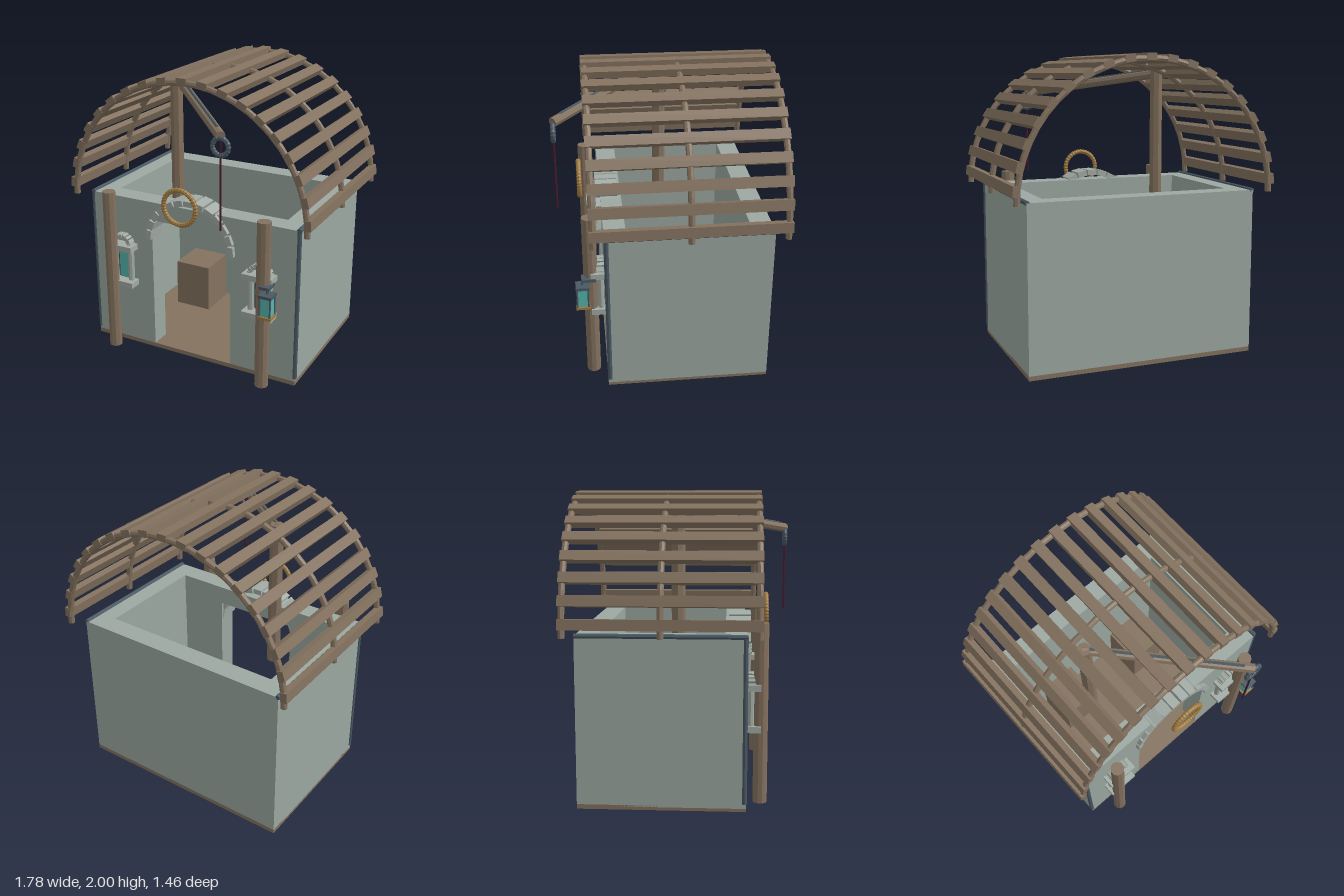
import * as THREE from 'three';

const mat = (color) => new THREE.MeshStandardMaterial({ color, flatShading: true });
const WALL = mat(0x9ca8a1), STONE = mat(0xa3aca6), WOOD = mat(0x84725f), IRON = mat(0x4a5963);
const GLASS = mat(0x55b5ad), BRASS = mat(0xa07c42), ROPE = mat(0x4a1a2a);

export function createModel() {
  const root = new THREE.Group();

  const add = (name, geo, material, x = 0, y = 0, z = 0, parent = root) => {
    const m = new THREE.Mesh(geo, material);
    m.name = name;
    m.position.set(x, y, z);
    parent.add(m);
    return m;
  };
  // Box given by its extents
  const span = (name, material, x0, x1, y0, y1, z0, z1, parent = root) =>
    add(name, new THREE.BoxGeometry(x1 - x0, y1 - y0, z1 - z0), material,
      (x0 + x1) / 2, (y0 + y1) / 2, (z0 + z1) / 2, parent);
  // Rod between two points
  const rod = (name, material, a, b, r, sides = 8, parent = root) => {
    const p = new THREE.Vector3(...a), q = new THREE.Vector3(...b), d = q.clone().sub(p);
    const m = add(name, new THREE.CylinderGeometry(r, r, d.length(), sides), material, 0, 0, 0, parent);
    m.position.copy(p).add(q).multiplyScalar(0.5);
    m.quaternion.setFromUnitVectors(new THREE.Vector3(0, 1, 0), d.normalize());
    return m;
  };
  // Half ring of separate stone blocks
  const stoneArch = (name, cx, cy, z, r, count, w, h, depth) => {
    const g = new THREE.Group();
    g.name = name;
    for (let i = 0; i < count; i++) {
      const a = Math.PI * (i + 0.5) / count;
      const s = add('archStone', new THREE.BoxGeometry(w, h * (i % 2 ? 1 : 0.9), depth), STONE,
        cx + r * Math.cos(a), cy + r * Math.sin(a), z, g);
      s.rotation.z = a - Math.PI / 2;
    }
    root.add(g);
  };
  // Ring with wrapped ridges
  const wrappedRing = (name, material, R, r, wraps, x, y, z) => {
    const geo = new THREE.TorusGeometry(R, r, 8, wraps * 2);
    const p = geo.attributes.position, v = new THREE.Vector3(), c = new THREE.Vector3();
    for (let i = 0; i < p.count; i++) {
      v.fromBufferAttribute(p, i);
      c.set(v.x, v.y, 0).setLength(R);
      v.sub(c).multiplyScalar(i % (wraps * 2 + 1) % 2 ? 0.82 : 1).add(c);
      p.setXYZ(i, v.x, v.y, v.z);
    }
    add(name, geo, material, x, y, z);
  };

  // Floor and walls around a doorway
  span('floor', WOOD, -0.78, 0.78, 0, 0.03, -0.64, 0.43);
  span('backWall', WALL, -0.78, 0.78, 0.02, 1.11, -0.64, -0.5);
  span('lintel', WALL, -0.3, 0.3, 0.98, 1.11, 0.29, 0.43);
  stoneArch('doorArch', 0, 0.84, 0.385, 0.315, 13, 0.066, 0.042, 0.15);

  for (const s of [-1, 1]) {
    const sorted = (a, b) => [Math.min(s * a, s * b), Math.max(s * a, s * b)];
    span('sideWall', WALL, ...sorted(0.64, 0.78), 0.02, 1.11, -0.5, 0.29);
    span('frontWall', WALL, ...sorted(0.3, 0.78), 0.02, 1.11, 0.29, 0.43);

    // Iron trim on corners and wall tops
    rod('cornerTrim', IRON, [s * 0.775, 0.05, 0.418], [s * 0.775, 1.11, 0.418], 0.016);
    rod('topTrim', IRON, [s * 0.775, 1.108, -0.64], [s * 0.775, 1.108, 0.43], 0.016);

    // Front posts and crates inside
    rod('post', WOOD, [s * 0.58, 0, 0.52], [s * 0.58, 1.17, 0.52], 0.046, 10);
    span('crate', WOOD, ...sorted(0.205, 0.48), 0.03, 0.38, -0.48, -0.19);

    // Slit windows
    const x = s * 0.53;
    const win = new THREE.Group();
    win.name = 'slitWindow';
    root.add(win);
    span('windowSill', STONE, x - 0.107, x + 0.107, 0.47, 0.51, 0.42, 0.52, win);
    span('windowHead', STONE, x - 0.107, x + 0.107, 0.74, 0.78, 0.42, 0.52, win);
    span('windowFrame', IRON, x - 0.047, x + 0.047, 0.5, 0.75, 0.425, 0.44, win);
    span('windowPane', GLASS, x - 0.036, x + 0.036, 0.51, 0.74, 0.43, 0.446, win);
    for (const k of [-1, 1])
      rod('windowJamb', STONE, [x + k * 0.066, 0.5, 0.455], [x + k * 0.066, 0.75, 0.455], 0.022, 8, win);
    stoneArch('windowArch', x, 0.765, 0.455, 0.07, 9, 0.021, 0.03, 0.06);
  }

  // Lantern hung from the left post
  const lantern = new THREE.Group();
  lantern.name = 'lantern';
  lantern.position.set(0.635, 0, 0.575);
  root.add(lantern);
  span('lanternBase', BRASS, -0.045, 0.045, 0.545, 0.562, -0.045, 0.045, lantern);
  span('lanternGlass', GLASS, -0.034, 0.034, 0.56, 0.695, -0.034, 0.034, lantern);
  span('lanternCap', IRON, -0.045, 0.045, 0.69, 0.71, -0.045, 0.045, lantern);
  for (const i of [-1, 1]) for (const k of [-1, 1])
    rod('lanternBar', IRON, [i * 0.036, 0.56, k * 0.036], [i * 0.036, 0.69, k * 0.036], 0.006, 6, lantern);
  rod('lanternHook', IRON, [0, 0.7, 0], [0, 0.74, 0], 0.008, 6, lantern);
  span('lanternBracket', IRON, -0.06, 0.012, 0.73, 0.75, -0.09, 0.005, lantern);

  // Rope wreath over the door
  wrappedRing('wreath', BRASS, 0.118, 0.018, 36, 0, 1.17, 0.565);

  // Hoist: mast, boom, pulley ring and rope
  rod('mast', WOOD, [-0.355, 0.9, -0.02], [-0.355, 1.9, -0.02], 0.045);
  rod('boom', WOOD, [-0.36, 1.875, -0.03], [0.375, 1.735, 0.71], 0.032);
  rod('boomStrap', IRON, [-0.33, 1.897, 0], [0.33, 1.772, 0.665], 0.01, 6);
  wrappedRing('pulleyRing', IRON, 0.053, 0.017, 16, 0.375, 1.67, 0.71);
  rod('hoistRope', ROPE, [0.375, 1.14, 0.71], [0.375, 1.73, 0.71], 0.007, 6);

  // Barrel roof: three ribs carrying slats
  class HalfCircle extends THREE.Curve {
    getPoint(t, target = new THREE.Vector3()) {
      return target.set(0.858 * Math.cos(Math.PI * t), 1.11 + 0.858 * Math.sin(Math.PI * t), 0);
    }
  }
  const rib = new THREE.TubeGeometry(new HalfCircle(), 28, 0.021, 8);
  for (const z of [0.5, -0.1, -0.7]) {
    add('roofRib', rib, WOOD, 0, 0, z);
    for (const s of [-1, 1])
      add('ribEnd', new THREE.CylinderGeometry(0.021, 0.021, 0.01, 8), WOOD, s * 0.858, 1.11, z);
  }

  const slat = new THREE.BoxGeometry(0.068, 0.045, 1.245);
  for (let i = -9; i <= 9; i++) {
    const a = Math.PI / 2 + THREE.MathUtils.degToRad(i * 9.41);
    const m = add('roofSlat', slat, WOOD, 0.868 * Math.cos(a), 1.11 + 0.868 * Math.sin(a), -0.1);
    m.rotation.z = a - Math.PI / 2;
  }

  return root;
}
